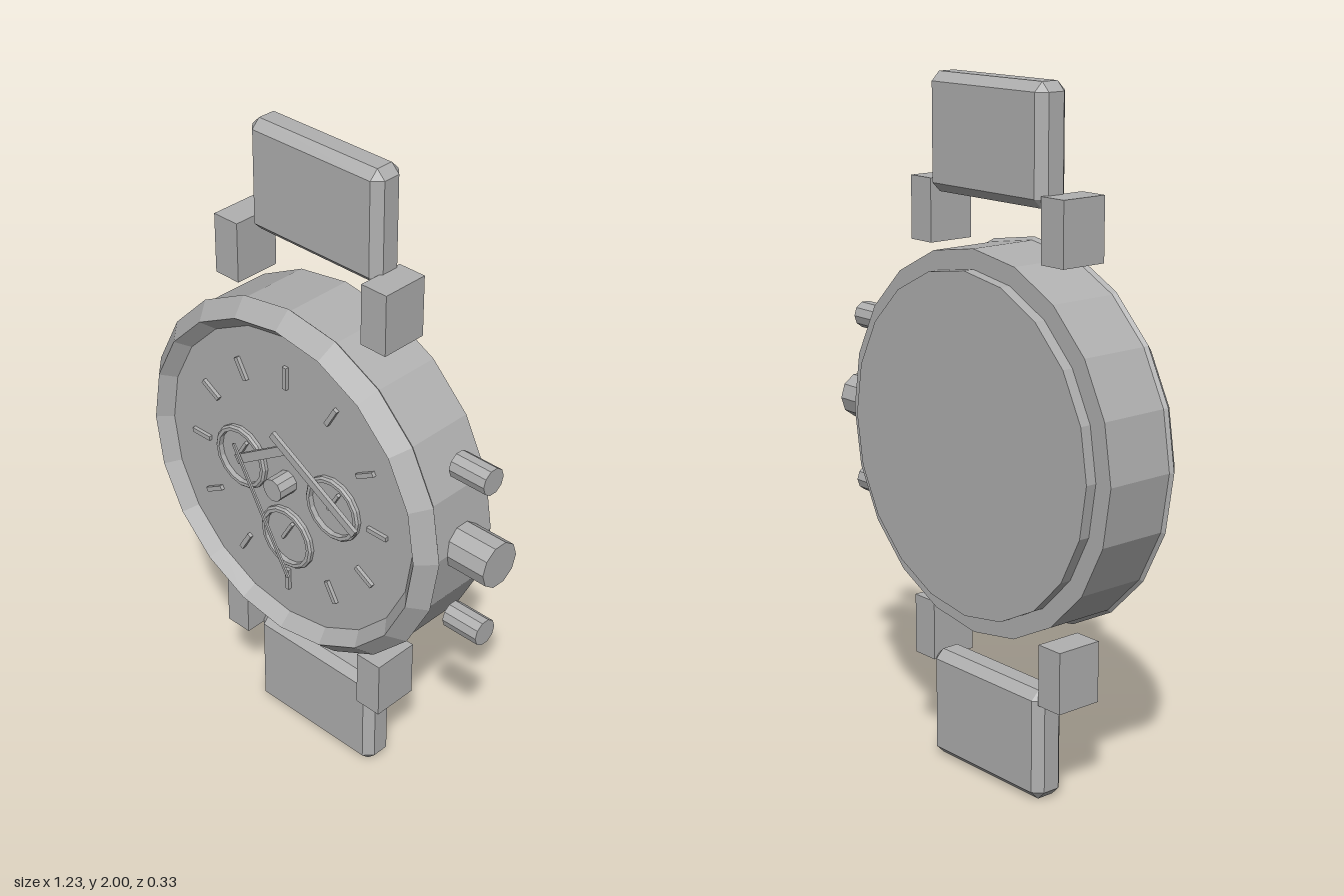
import * as THREE from 'three';
import { ConvexGeometry } from 'three/addons/geometries/ConvexGeometry.js';

const steel = new THREE.MeshStandardMaterial({ color: 0xb0b0b0, flatShading: true });
steel.name = 'grey steel';

const CX = -0.06, CY = 1, DIAL_Z = 0.1;

export function createModel() {
  const watch = new THREE.Group();
  watch.name = 'wristwatch';

  const add = (name, geometry, x, y, z) => {
    const mesh = new THREE.Mesh(geometry, steel);
    mesh.name = name;
    mesh.position.set(x, y, z);
    watch.add(mesh);
    return mesh;
  };

  // Turned solid whose axis points to the front
  const turned = (name, profile, sides, x, y, z) => {
    const points = profile.map(([r, h]) => new THREE.Vector2(r, h));
    return add(name, new THREE.LatheGeometry(points, sides).rotateX(Math.PI / 2), x, y, z);
  };

  // Flat bar on the dial between two points
  const bar = (name, [x1, y1], [x2, y2], width, z, depth) => {
    const length = Math.hypot(x2 - x1, y2 - y1);
    const mesh = add(name, new THREE.BoxGeometry(length, width, depth), (x1 + x2) / 2, (y1 + y2) / 2, z);
    mesh.rotation.z = Math.atan2(y2 - y1, x2 - x1);
  };

  // Box with all edges and corners cut
  const chamferedBox = (w, h, d, c) => {
    const points = [];
    for (const sx of [-1, 1]) for (const sy of [-1, 1]) for (const sz of [-1, 1]) {
      for (const [a, b, e] of [[0, c, c], [c, 0, c], [c, c, 0]]) {
        points.push(new THREE.Vector3(sx * (w / 2 - a), sy * (h / 2 - b), sz * (d / 2 - e)));
      }
    }
    return new ConvexGeometry(points);
  };

  // Case back, body, bevelled bezel and recessed dial
  turned('caseBack', [[0, -0.163], [0.49, -0.163], [0.49, -0.13]], 20, CX, CY, 0);
  turned('caseBody', [[0.48, -0.13], [0.546, -0.13], [0.546, 0.081]], 20, CX, CY, 0);
  turned('bezel', [[0.546, 0.081], [0.555, 0.09], [0.507, 0.14], [0.47, DIAL_Z]], 20, CX, CY, 0);
  turned('dial', [[0.47, DIAL_Z], [0, DIAL_Z]], 20, CX, CY, 0);

  // Strap ends and lugs, above and below the case
  for (const sy of [1, -1]) {
    add('strap', chamferedBox(0.472, 0.328, 0.105, 0.026), CX, CY + sy * 0.836, -0.046);
    for (const sx of [1, -1]) {
      add('lug', new THREE.BoxGeometry(0.087, 0.18, 0.145), CX + sx * 0.272, CY + sy * 0.618, -0.018);
    }
  }

  // Crown and push buttons on the model's left
  const knob = (name, r, x1, x2, y) =>
    add(name, new THREE.CylinderGeometry(r, r, x2 - x1, 10).rotateZ(Math.PI / 2), (x1 + x2) / 2, y, -0.02);
  knob('crown', 0.068, 0.47, 0.61, CY);
  for (const sy of [1, -1]) knob('pushButton', 0.04, 0.455, 0.574, CY + sy * 0.253);

  // Hour markers
  for (let i = 0; i < 12; i++) {
    const a = (i * Math.PI) / 6;
    const at = (r) => [CX + r * Math.cos(a), CY + r * Math.sin(a)];
    bar('hourMarker', at(0.31), at(0.38), 0.014, DIAL_Z + 0.005, 0.012);
  }

  // Subdials: raised ring with a small hand
  for (const [dx, dy] of [[-0.18, 0], [0.18, 0], [0, -0.193]]) {
    const x = CX + dx, y = CY + dy;
    turned('subdialRing', [[0.1, 0], [0.1, 0.01], [0.094, 0.016], [0.084, 0.016], [0.084, 0]], 16, x, y, DIAL_Z);
    bar('subdialHand', [x - 0.018, y - 0.01], [x + 0.02, y + 0.055], 0.01, DIAL_Z + 0.005, 0.012);
  }

  // Centre pin and main hands
  const pin = new THREE.CylinderGeometry(0.035, 0.035, 0.066, 10).rotateX(Math.PI / 2);
  add('centrePin', pin, CX, CY, 0.13);
  bar('hourHand', [-0.24, 1.0], [-0.045, 1.125], 0.028, 0.122, 0.012);
  bar('minuteHand', [-0.09, 1.16], [0.225, 0.98], 0.024, 0.13, 0.012);
  bar('secondHand', [-0.24, 1.06], [-0.028, 0.695], 0.01, 0.137, 0.006);

  return watch;
}
